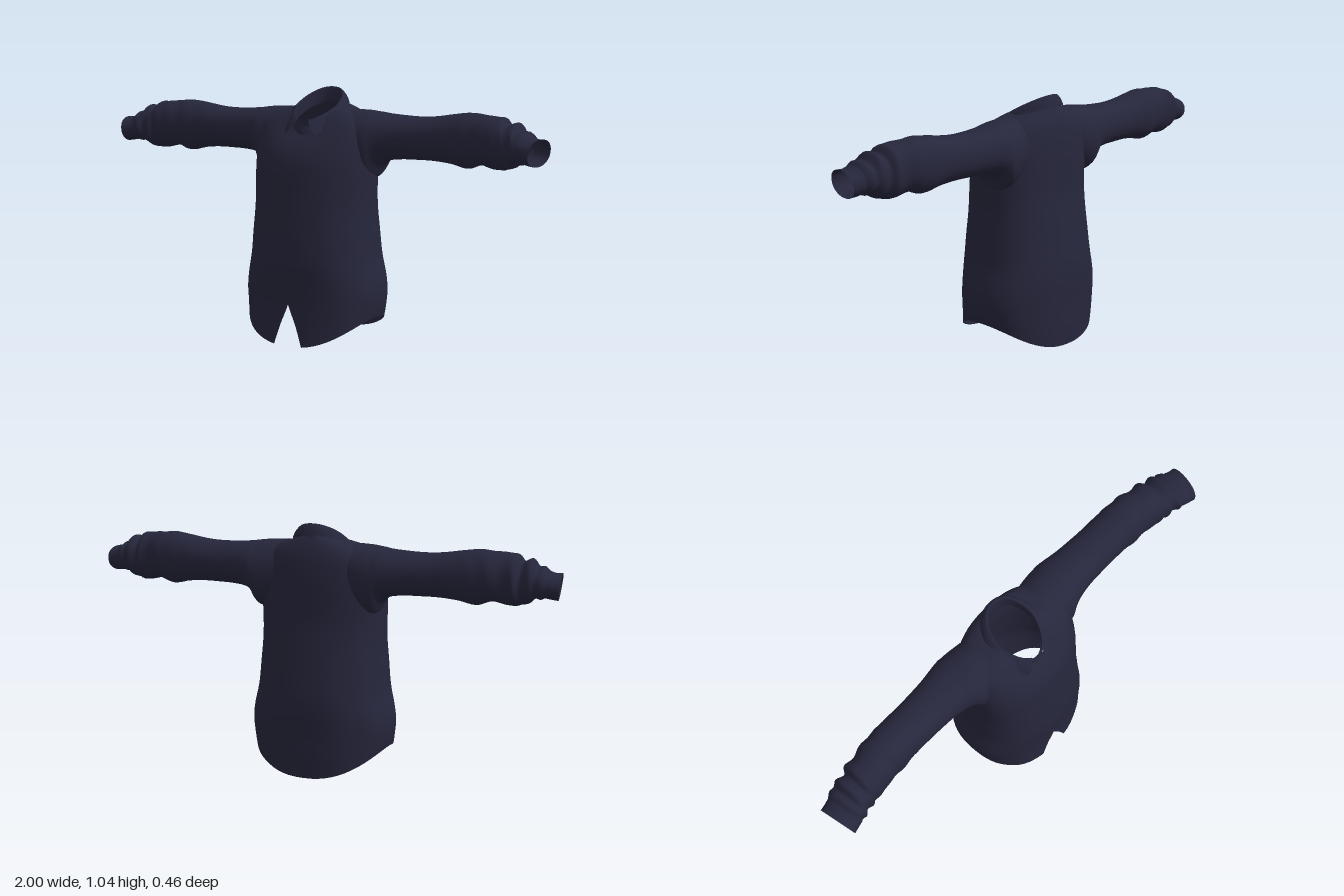
import * as THREE from 'three';
import { mergeVertices } from 'three/addons/utils/BufferGeometryUtils.js';

const cloth = new THREE.MeshStandardMaterial({ color: 0x26263c, side: THREE.DoubleSide });
cloth.name = 'navyCloth';

// Smooth interpolation through a list of number rows, t in 0..1
function sampleRows(rows, t) {
  const f = t * (rows.length - 1);
  const i = Math.min(Math.floor(f), rows.length - 2);
  const k = f - i;
  const at = (n) => rows[Math.max(0, Math.min(rows.length - 1, n))];
  return rows[i].map((b, c) => {
    const a = at(i - 1)[c], d = at(i + 1)[c], e = at(i + 2)[c];
    const m0 = (d - a) / 2, m1 = (e - b) / 2;
    return b + k * (m0 + k * (3 * (d - b) - 2 * m0 - m1 + k * (2 * (b - d) + m0 + m1)));
  });
}

// Skin a surface over cross-sections; skip(centre) leaves a hole
function loft(name, rows, steps, cols, point, skip = () => false) {
  const pts = [], index = [];
  for (let i = 0; i <= steps; i++) {
    const row = sampleRows(rows, i / steps);
    for (let j = 0; j <= cols; j++) pts.push(point(row, j / cols));
  }
  for (let i = 0; i < steps; i++) {
    for (let j = 0; j < cols; j++) {
      const a = i * (cols + 1) + j, b = a + 1, c = b + cols + 1, d = c - 1;
      const mid = pts[a].clone().add(pts[c]).multiplyScalar(0.5);
      if (!skip(mid)) index.push(a, b, c, a, c, d);
    }
  }
  let geo = new THREE.BufferGeometry();
  geo.setAttribute('position', new THREE.Float32BufferAttribute(pts.flatMap((p) => p.toArray()), 3));
  geo.setIndex(index);
  geo = mergeVertices(geo, 1e-5);
  geo.computeVertexNormals();
  const mesh = new THREE.Mesh(geo, cloth);
  mesh.name = name;
  return mesh;
}

const spow = (v, p) => Math.sign(v) * Math.abs(v) ** p;

// Body rings: front y, side y, back y, half width, front z, back z, slit half angle
const bodyRows = [
  [0.005, 0.12, 0.01, 0.288, 0.233, -0.222, 0.18],
  [0.09, 0.155, 0.1, 0.297, 0.227, -0.225, 0.09],
  [0.18, 0.21, 0.19, 0.302, 0.225, -0.226, 0],
  [0.27, 0.28, 0.27, 0.292, 0.228, -0.229, 0],
  [0.35, 0.35, 0.35, 0.278, 0.232, -0.227, 0],
  [0.45, 0.45, 0.45, 0.266, 0.224, -0.214, 0],
  [0.55, 0.55, 0.55, 0.26, 0.212, -0.201, 0],
  [0.65, 0.65, 0.65, 0.26, 0.199, -0.188, 0],
  [0.74, 0.74, 0.74, 0.264, 0.185, -0.185, 0],
  [0.8, 0.83, 0.83, 0.262, 0.163, -0.182, 0],
  [0.835, 0.91, 0.91, 0.24, 0.14, -0.172, 0],
  [0.852, 0.95, 0.96, 0.185, 0.125, -0.156, 0],
  [0.865, 0.972, 0.995, 0.1, 0.113, -0.138, 0],
];

function bodyPoint([yf, ys, yb, w, zf, zb, slit], u) {
  const s = Math.max(0, slit);
  const a = s + u * (Math.PI * 2 - 2 * s);
  const c = Math.cos(a), q = c * c;
  const y = ys + ((c > 0 ? yf : yb) - ys) * q;
  // soft hanging folds, fading out towards the neck
  const fade = Math.max(0, Math.min(1, (0.8 - y) / 0.4));
  const fold = 1 + 0.012 * fade * Math.sin(a * 9 + y * 5) * Math.abs(Math.sin(a));
  const depth = (zf - zb) / 2;
  return new THREE.Vector3(
    w * spow(Math.sin(a), 0.86) * (1 + 0.006 * fade * Math.sin(y * 30)),
    y,
    (zf + zb) / 2 + depth * spow(c, 0.86) * fold,
  );
}

// Sleeve rings: x, top y, bottom y, front z, back z
const sleeveRows = [
  [0.15, 0.964, 0.74, 0.07, -0.15],
  [0.22, 0.962, 0.69, 0.075, -0.165],
  [0.255, 0.958, 0.69, 0.075, -0.168],
  [0.28, 0.955, 0.735, 0.065, -0.166],
  [0.315, 0.95, 0.76, 0.052, -0.16],
  [0.38, 0.946, 0.769, 0.04, -0.15],
  [0.45, 0.944, 0.771, 0.036, -0.145],
  [0.52, 0.948, 0.771, 0.035, -0.141],
  [0.6, 0.96, 0.764, 0.036, -0.139],
  [0.67, 0.969, 0.75, 0.042, -0.136],
  [0.73, 0.965, 0.768, 0.044, -0.13],
  [0.79, 0.96, 0.757, 0.056, -0.115],
  [0.825, 0.957, 0.755, 0.05, -0.117],
  [0.845, 0.928, 0.76, 0.062, -0.1],
  [0.875, 0.942, 0.768, 0.06, -0.105],
  [0.895, 0.912, 0.786, 0.072, -0.09],
  [0.915, 0.912, 0.782, 0.07, -0.092],
  [0.932, 0.895, 0.79, 0.074, -0.08],
];
const cuffRows = [
  [0.925, 0.897, 0.79, 0.075, -0.082],
  [0.955, 0.886, 0.784, 0.08, -0.073],
  [0.984, 0.886, 0.78, 0.087, -0.068],
];

function sleevePoint(side) {
  return ([x, yt, yb, zf, zb], u) => {
    const a = u * Math.PI * 2 * side;
    // bunched cloth near the wrist
    const bunch = x > 0.55 && x < 0.92 ? 0.035 * Math.min(1, (x - 0.55) * 5) : 0;
    const r = 1 + bunch * Math.sin(x * 75 + 3 * Math.sin(a)) * Math.abs(Math.sin(a));
    const y = (yt + yb) / 2 + ((yt - yb) / 2) * spow(Math.cos(a), 0.92) * r;
    const z = (zf + zb) / 2 + ((zf - zb) / 2) * spow(Math.sin(a), 0.92) * r;
    // the wrist end is cut at a slant
    const slant = Math.max(0, Math.min(1, (x - 0.85) / 0.1));
    return new THREE.Vector3(side * (x + slant * (0.13 * (y - 0.83) - 0.18 * (z - 0.01))), y, z);
  };
}

// Collar rings: width, front z, back z, start angle, drop below fold, side lift
const collarRows = [
  [0.125, 0.172, -0.15, 0.72, 0.055, 0.02],
  [0.115, 0.15, -0.142, 0.52, 0.025, 0.008],
  [0.097, 0.118, -0.13, 0.32, 0, 0],
  [0.09, 0.11, -0.122, 0.3, 0.004, 0],
  [0.09, 0.108, -0.12, 0.28, 0.05, 0],
];
function collarPoint([w, zf, zb, start, drop, lift], u) {
  const a = start + u * (Math.PI * 2 - 2 * start);
  const c = Math.cos(a);
  const z = c > 0 ? zf * c : -zb * c;
  const x = w * spow(Math.sin(a), 0.9) * (1 - 0.2 * Math.max(0, c));
  return new THREE.Vector3(x, 0.977 - 0.52 * z - drop + lift * (1 - c * c), z);
}

// Neck band rings: lift, scale
const bandRows = [[-0.012, 1.06], [0.008, 1.02], [0.024, 0.96]];
function bandPoint([lift, k], u) {
  const a = u * Math.PI * 2, c = Math.cos(a);
  const z = (c > 0 ? 0.112 : 0.135) * c * k;
  return new THREE.Vector3(0.094 * k * Math.sin(a) * (1 - 0.2 * Math.max(0, c)), 0.925 - 0.5 * z + lift, z);
}

export function createModel() {
  const shirt = new THREE.Group();
  shirt.name = 'shirt';

  // Body, left open where the sleeves join
  const armhole = (p) => Math.abs(p.x) > 0.19 && ((p.y - 0.84) / 0.075) ** 2 + ((p.z + 0.045) / 0.085) ** 2 < 1;
  shirt.add(loft('body', bodyRows, 48, 64, bodyPoint, armhole));

  // Sleeves and cuffs
  for (const [side, label] of [[1, 'left'], [-1, 'right']]) {
    shirt.add(loft(label + 'Sleeve', sleeveRows, 68, 32, sleevePoint(side)));
    shirt.add(loft(label + 'Cuff', cuffRows, 4, 32, sleevePoint(side)));
  }

  // Neck band and folded collar
  shirt.add(loft('neckBand', bandRows, 4, 40, bandPoint));
  shirt.add(loft('collar', collarRows, 12, 40, collarPoint));
  return shirt;
}
